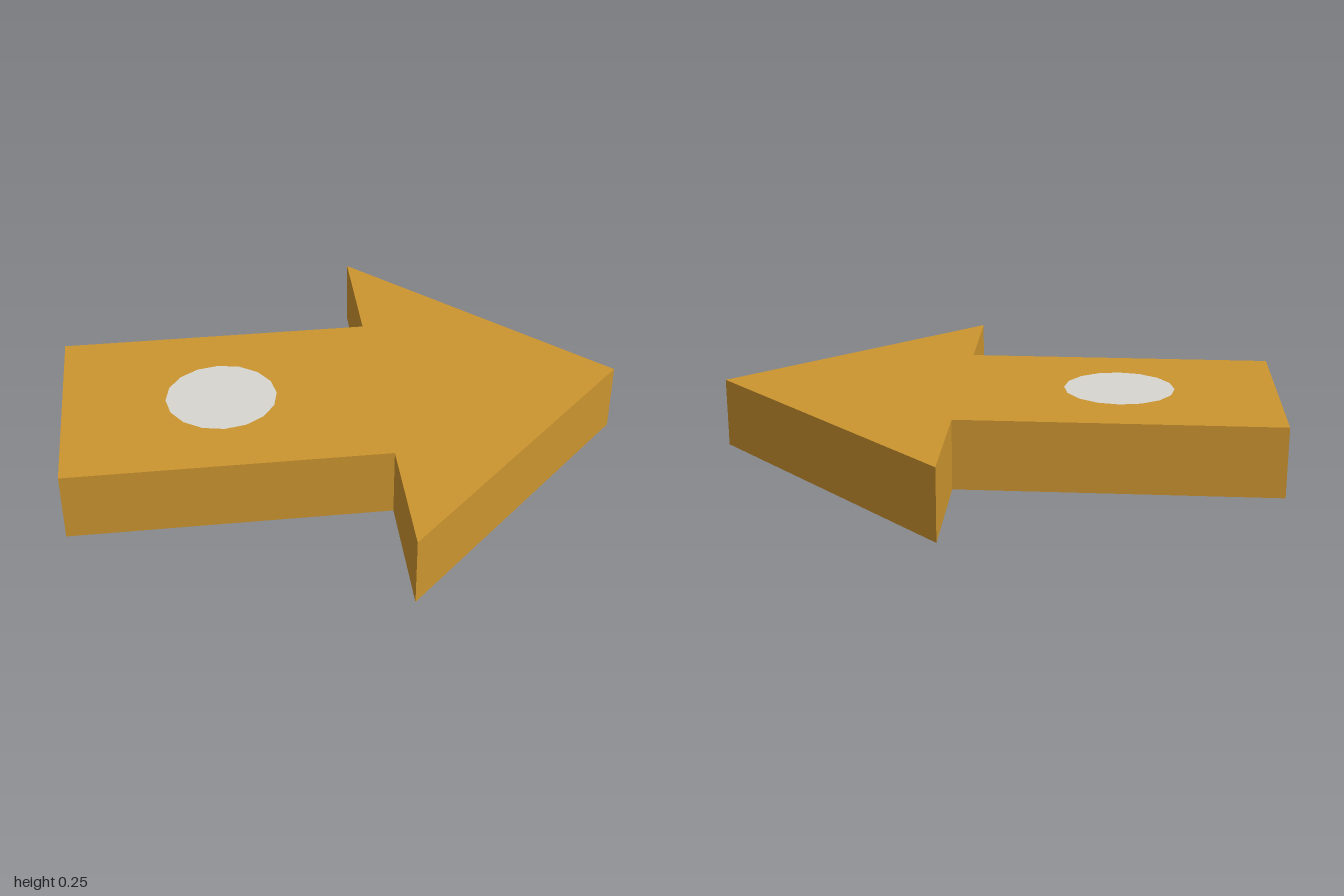
import * as THREE from 'three';

const HEIGHT = 0.25;

export function createModel() {
  const group = new THREE.Group();
  group.name = 'arrowBlock';
  const ochre = new THREE.MeshStandardMaterial({ name: 'ochre', color: 0xcc952f });
  const paleGrey = new THREE.MeshStandardMaterial({ name: 'paleGrey', color: 0xd8d6d0 });

  // Solid arrow pointing to +x, mirrored about its long axis
  const half = [[-1, 0.405], [0.125, 0.405], [0.125, 0.873]];
  const outline = [
    ...half.map(([x, z]) => new THREE.Vector2(x, -z)),
    new THREE.Vector2(1, 0),
    ...half.map(([x, z]) => new THREE.Vector2(x, z)).reverse(),
  ];
  const arrowGeometry = new THREE.ExtrudeGeometry(new THREE.Shape(outline), {
    depth: HEIGHT,
    bevelEnabled: false,
  });
  arrowGeometry.rotateX(-Math.PI / 2);
  const arrow = new THREE.Mesh(arrowGeometry, ochre);
  arrow.name = 'arrowBody';
  group.add(arrow);

  // Round inlay on the top of the shaft
  const inlay = new THREE.Mesh(new THREE.CircleGeometry(0.198, 16).rotateX(-Math.PI / 2), paleGrey);
  inlay.name = 'roundInlay';
  inlay.position.set(-0.438, HEIGHT + 0.002, 0);
  group.add(inlay);

  return group;
}
